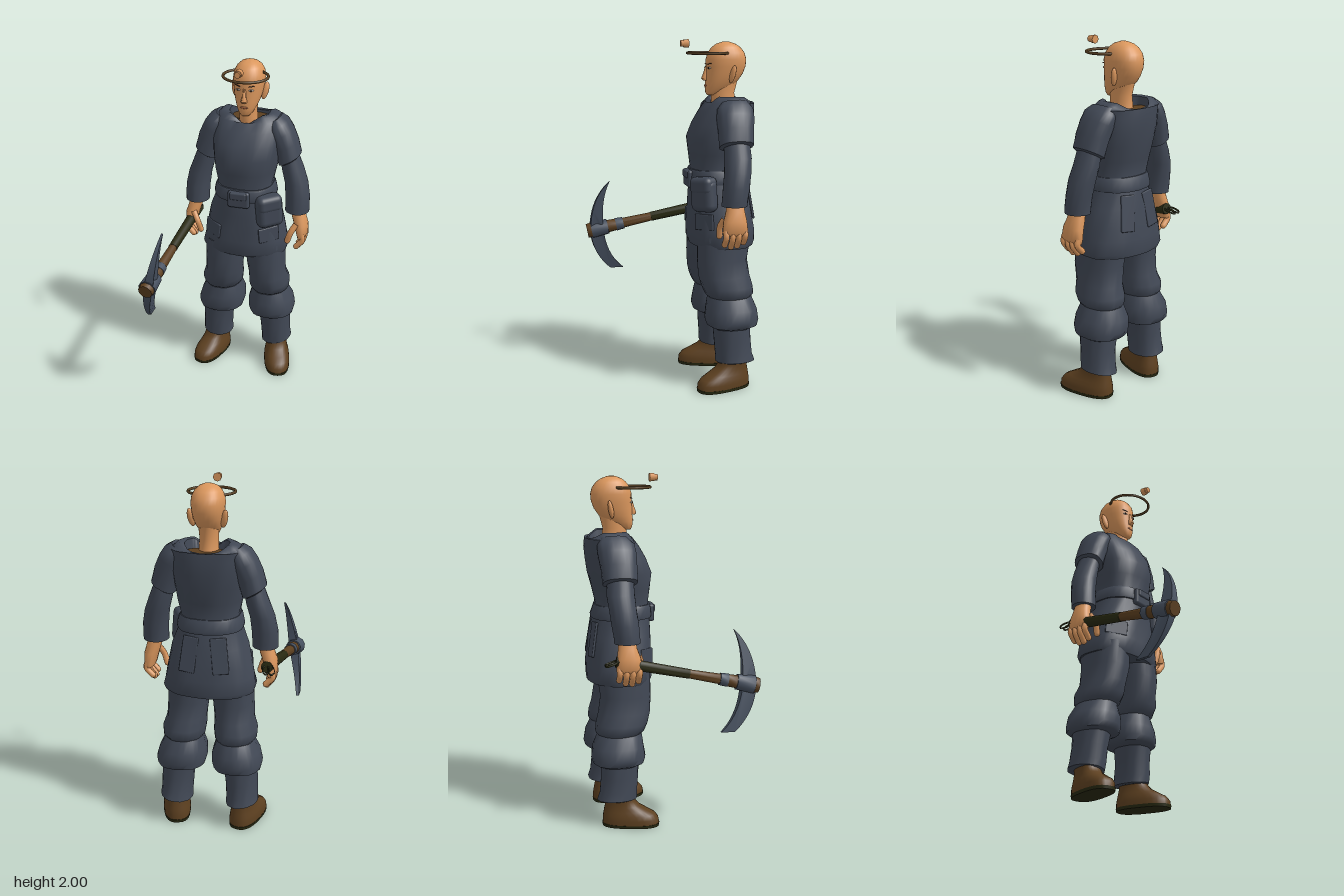
import * as THREE from 'three';
import { toCreasedNormals } from 'three/addons/utils/BufferGeometryUtils.js';
import { RoundedBoxGeometry } from 'three/addons/geometries/RoundedBoxGeometry.js';

const mat = (name, color) => {
  const m = new THREE.MeshStandardMaterial({ color });
  m.name = name;
  return m;
};
const skin = mat('skin', 0xdb975d);
const cloth = mat('slate cloth', 0x414855);
const leather = mat('brown leather', 0x5d4020);
const olive = mat('dark olive wrap', 0x292a12);
const metal = mat('blue steel', 0x475160);
const bronze = mat('dark bronze', 0x563f22);
const white = mat('eye white', 0xd8d0c4);
const dark = mat('dark brown', 0x3a2414);
const lip = mat('lip', 0xb8704a);

function add(parent, name, geo, material, x = 0, y = 0, z = 0) {
  const m = new THREE.Mesh(geo, material);
  m.name = name;
  m.position.set(x, y, z);
  parent.add(m);
  return m;
}

// Stacked rounded rings: rows of [y, centreX, radiusX, frontZ, backZ]
function loft(rows, { n = 28, p = 2, slope = 0, ripple = 0, crease = 0.9 } = {}) {
  const pos = [], idx = [];
  const bend = (v) => Math.sign(v) * Math.abs(v) ** (2 / p);
  for (const [y, cx, rx, zf, zb] of rows) {
    for (let i = 0; i < n; i++) {
      const a = (i / n) * Math.PI * 2;
      const w = 1 + ripple * Math.sin(a * 7 + y * 31) * Math.cos(a * 3 - y * 17);
      const dx = bend(Math.cos(a)) * rx * w, dz = bend(Math.sin(a)) * (zf - zb) / 2 * w;
      pos.push(cx + dx, y + slope * dx, (zf + zb) / 2 + dz);
    }
  }
  for (let r = 0; r < rows.length - 1; r++) {
    for (let i = 0; i < n; i++) {
      const a = r * n + i, b = r * n + (i + 1) % n;
      idx.push(a, a + n, b, b, a + n, b + n);
    }
  }
  const caps = [rows[0], rows[rows.length - 1]];
  caps.forEach(([y, cx, , zf, zb], k) => {
    const c = pos.length / 3, base = k * (rows.length - 1) * n;
    pos.push(cx, y, (zf + zb) / 2);
    for (let i = 0; i < n; i++) {
      const a = base + i, b = base + (i + 1) % n;
      if (k) idx.push(c, b, a); else idx.push(c, a, b);
    }
  });
  const g = new THREE.BufferGeometry();
  g.setAttribute('position', new THREE.Float32BufferAttribute(pos, 3));
  g.setIndex(idx);
  return toCreasedNormals(g, crease);
}

function buildHead(body) {
  add(body, 'neck', loft([[1.57, 0, 0.06, -0.23, -0.37], [1.64, 0, 0.053, -0.22, -0.36],
    [1.7, 0, 0.051, -0.215, -0.352], [1.77, 0, 0.055, -0.22, -0.37]]), skin);
  add(body, 'head', loft([[1.69, 0, 0.024, -0.192, -0.24], [1.705, 0, 0.04, -0.184, -0.28],
    [1.735, 0, 0.056, -0.181, -0.33], [1.77, 0, 0.07, -0.183, -0.372], [1.81, 0, 0.08, -0.185, -0.4],
    [1.85, 0, 0.086, -0.187, -0.415], [1.89, 0, 0.09, -0.187, -0.418], [1.925, 0, 0.085, -0.197, -0.408],
    [1.955, 0, 0.07, -0.218, -0.385], [1.975, 0, 0.048, -0.245, -0.355], [1.987, 0, 0.018, -0.28, -0.32]],
    { p: 2.25, crease: 1.2 }), skin);
  // Face
  add(body, 'nose', loft([[1.772, 0, 0.016, -0.168, -0.2], [1.782, 0, 0.018, -0.158, -0.2],
    [1.815, 0, 0.011, -0.17, -0.2], [1.85, 0, 0.008, -0.18, -0.2]], { n: 10 }), skin);
  add(body, 'mouth', new THREE.SphereGeometry(1, 12, 8).scale(0.024, 0.006, 0.005), lip, 0, 1.743, -0.182);
  for (const s of [1, -1]) {
    const eye = add(body, 'eye', new THREE.SphereGeometry(1, 12, 8).scale(0.015, 0.006, 0.006), white, s * 0.038, 1.843, -0.194);
    eye.rotation.y = s * 0.35;
    add(body, 'iris', new THREE.SphereGeometry(0.006, 10, 8), dark, s * 0.038, 1.843, -0.191);
    const brow = add(body, 'brow', new RoundedBoxGeometry(0.034, 0.005, 0.006, 1, 0.002), dark, s * 0.04, 1.866, -0.194);
    brow.rotation.set(0, s * 0.4, s * 0.15);
    const ear = add(body, 'ear', new THREE.SphereGeometry(1, 12, 10).scale(0.02, 0.052, 0.015), skin, s * 0.089, 1.808, -0.318);
    ear.rotation.set(-0.15, s * 0.25, -s * 0.2);
  }
  // Floating head ring and the knob ahead of it
  add(body, 'headRing', new THREE.TorusGeometry(0.127, 0.008, 8, 40).rotateX(Math.PI / 2).scale(1, 1, 0.92), bronze, 0.005, 1.925, -0.195);
  add(body, 'ringKnob', new THREE.CylinderGeometry(0.021, 0.024, 0.03, 8).rotateX(Math.PI / 2), skin, 0, 1.978, -0.068);
  add(body, 'knobCap', new THREE.CylinderGeometry(0.018, 0.018, 0.02, 8).rotateX(Math.PI / 2), skin, 0, 1.978, -0.047);
}

function buildTunic(body) {
  const torso = loft([[0.835, 0, 0.25, -0.095, -0.455], [0.86, 0, 0.26, -0.085, -0.462],
    [0.93, 0, 0.248, -0.085, -0.46], [1, 0, 0.234, -0.088, -0.45], [1.1, 0, 0.208, -0.09, -0.44],
    [1.2, 0, 0.172, -0.095, -0.415], [1.28, 0, 0.163, -0.1, -0.402], [1.36, 0, 0.178, -0.09, -0.42],
    [1.45, 0, 0.195, -0.084, -0.44], [1.53, 0, 0.202, -0.112, -0.453], [1.6, 0, 0.205, -0.155, -0.456],
    [1.65, 0, 0.2, -0.19, -0.454], [1.675, 0, 0.17, -0.21, -0.445], [1.685, 0, 0.145, -0.222, -0.437],
    [1.68, 0, 0.12, -0.234, -0.428], [1.6, 0, 0.108, -0.24, -0.42]], { n: 40, p: 2.35, ripple: 0.022 });
  // Dip the neckline at the front and slope the collar down at the back
  const q = torso.attributes.position;
  for (let i = 0; i < q.count; i++) {
    const x = Math.abs(q.getX(i)), y = q.getY(i), z = q.getZ(i);
    if (y < 1.66) continue;
    const front = z > -0.33 ? 0.065 * Math.max(0, 1 - x / 0.09) : 0;
    q.setY(i, y - front - 0.6 * Math.max(0, -0.37 - z));
  }
  add(body, 'tunic', toCreasedNormals(torso, 0.9), cloth);
  add(body, 'collarLining', loft([[1.59, 0, 0.1, -0.28, -0.41], [1.636, 0, 0.11, -0.28, -0.418]], { p: 2.35 }), leather);
  add(body, 'belt', loft([[1.195, 0, 0.182, -0.084, -0.427], [1.21, 0, 0.184, -0.08, -0.43],
    [1.26, 0, 0.174, -0.084, -0.415], [1.272, 0, 0.168, -0.09, -0.41]], { p: 2.35, ripple: 0.015 }), cloth);
  // Pouches and pockets
  add(body, 'beltPouch', new RoundedBoxGeometry(0.13, 0.1, 0.04, 2, 0.015), cloth, -0.002, 1.215, -0.088);
  add(body, 'beltPouchFlap', new RoundedBoxGeometry(0.1, 0.045, 0.03, 2, 0.01), cloth, -0.002, 1.24, -0.076);
  const pouch = new THREE.Group();
  pouch.name = 'sidePouch';
  pouch.position.set(0.17, 1.14, -0.135);
  pouch.rotation.set(0, 0.6, 0.08);
  add(pouch, 'pouchBag', new RoundedBoxGeometry(0.16, 0.19, 0.09, 3, 0.04), cloth);
  add(pouch, 'pouchFlap', new RoundedBoxGeometry(0.15, 0.1, 0.096, 3, 0.032), cloth, 0, 0.055, 0.002);
  body.add(pouch);
  for (const s of [1, -1]) {
    const pocket = add(body, 'pocketFlap', new RoundedBoxGeometry(0.13, 0.09, 0.014, 2, 0.006), cloth, s * 0.17, 0.985, -0.137);
    pocket.rotation.set(-0.06, s * 0.65, s * 0.12);
    const tail = add(body, 'backPanel', new RoundedBoxGeometry(0.09, 0.2, 0.014, 2, 0.006), cloth, s * 0.085, 1.08, -0.43);
    tail.rotation.set(0.17, s * -0.13, s * 0.12);
  }
}

function buildArm(body, s) {
  add(body, 'shortSleeve', loft([[1.412, s * 0.25, 0.05, -0.215, -0.375], [1.422, s * 0.251, 0.064, -0.2, -0.395],
    [1.5, s * 0.229, 0.064, -0.2, -0.4], [1.57, s * 0.199, 0.064, -0.2, -0.408],
    [1.62, s * 0.175, 0.055, -0.205, -0.41], [1.652, s * 0.15, 0.04, -0.235, -0.39]],
    { slope: s * 0.55, p: 2.2, ripple: 0.03 }), cloth);
  add(body, 'longSleeve', loft([[1.1, s * 0.308, 0.06, -0.21, -0.335], [1.1, s * 0.309, 0.07, -0.2, -0.345],
    [1.13, s * 0.309, 0.071, -0.202, -0.347], [1.2, s * 0.306, 0.071, -0.208, -0.357],
    [1.28, s * 0.294, 0.069, -0.216, -0.368], [1.36, s * 0.269, 0.064, -0.222, -0.378],
    [1.45, s * 0.245, 0.054, -0.225, -0.37]], { ripple: 0.025 }), cloth);
  // Hand
  add(body, 'palm', loft([[0.94, s * 0.344, 0.022, -0.2, -0.337], [0.96, s * 0.346, 0.032, -0.195, -0.342],
    [1.02, s * 0.337, 0.04, -0.203, -0.336], [1.07, s * 0.321, 0.041, -0.22, -0.327],
    [1.13, s * 0.308, 0.038, -0.228, -0.32]], { n: 16, p: 2.3 }), skin);
  const tip = (x, y, z, r) => add(body, 'fingertip', new THREE.SphereGeometry(r, 8, 6), skin, s * x, y, z);
  const finger = (name, pts, r) => {
    add(body, name, new THREE.TubeGeometry(
      new THREE.CatmullRomCurve3(pts.map(([x, y, z]) => new THREE.Vector3(s * x, y, z))), 8, r, 8), skin);
    tip(...pts[pts.length - 1], r);
  };
  [0.885, 0.872, 0.876, 0.895].forEach((y, i) => {
    const z = -0.214 - i * 0.036;
    finger('finger', [[0.35, 0.97, z], [0.358, (y + 0.97) / 2 + 0.005, z], [0.322, y, z]], 0.0175);
  });
  finger('thumb', [[0.318, 1.035, -0.215], [0.288, 0.98, -0.195], [0.27, 0.925, -0.198]], 0.018);
}

function buildLeg(body, s) {
  const opt = { p: 2.2, ripple: 0.03 };
  add(body, 'upperTrouser', loft([[0.53, s * 0.148, 0.1, -0.185, -0.41], [0.555, s * 0.15, 0.118, -0.155, -0.432],
    [0.6, s * 0.148, 0.122, -0.132, -0.43], [0.66, s * 0.138, 0.112, -0.12, -0.41],
    [0.76, s * 0.13, 0.115, -0.108, -0.4], [0.9, s * 0.122, 0.118, -0.11, -0.42]], opt), cloth);
  add(body, 'kneeTrouser', loft([[0.36, s * 0.165, 0.11, -0.19, -0.42], [0.375, s * 0.163, 0.138, -0.16, -0.452],
    [0.41, s * 0.162, 0.145, -0.15, -0.46], [0.47, s * 0.155, 0.135, -0.155, -0.455],
    [0.54, s * 0.148, 0.106, -0.17, -0.42]], opt), cloth);
  add(body, 'lowerTrouser', loft([[0.15, s * 0.195, 0.08, -0.22, -0.42], [0.155, s * 0.194, 0.092, -0.21, -0.432],
    [0.2, s * 0.192, 0.088, -0.205, -0.42], [0.28, s * 0.188, 0.09, -0.2, -0.41],
    [0.38, s * 0.18, 0.096, -0.19, -0.41]], { ...opt, slope: s * 0.12 }), cloth);
  // Boot, turned outward
  const boot = new THREE.Group();
  boot.name = 'boot';
  boot.position.set(s * 0.217, 0, -0.245);
  boot.rotation.y = s * 0.27;
  add(boot, 'sole', loft([[0, 0, 0.078, 0.164, -0.164], [0.018, 0, 0.081, 0.166, -0.166]], { p: 2.6 }), olive);
  add(boot, 'bootUpper', loft([[0.018, 0, 0.08, 0.164, -0.164], [0.045, 0, 0.081, 0.16, -0.164],
    [0.07, 0, 0.077, 0.14, -0.16], [0.092, 0, 0.07, 0.1, -0.156], [0.12, 0, 0.063, 0.05, -0.15],
    [0.15, 0, 0.062, 0.022, -0.146], [0.2, 0, 0.068, 0.015, -0.148]], { p: 2.5 }), leather);
  body.add(boot);
}

function buildPick(parent) {
  const pick = new THREE.Group();
  pick.name = 'pickaxe';
  parent.add(pick);
  const at = (z) => new THREE.Vector3(-0.302, 1, -0.33).lerp(new THREE.Vector3(-0.367, 0.84, 0.46), (z + 0.33) / 0.79);
  const up = new THREE.Vector3(0, 1, 0);
  const rod = (name, material, z0, z1, r0, r1) => {
    const a = at(z0), b = at(z1), d = b.clone().sub(a), c = a.clone().add(b).multiplyScalar(0.5);
    const m = add(pick, name, toCreasedNormals(new THREE.CylinderGeometry(r1, r0, d.length(), 10), 0.8), material, c.x, c.y, c.z);
    m.quaternion.setFromUnitVectors(up, d.normalize());
  };
  rod('gripWrap', olive, -0.34, 0.065, 0.033, 0.028);
  rod('handle', leather, 0.065, 0.25, 0.026, 0.031);
  rod('collar', metal, 0.235, 0.28, 0.036, 0.039);
  rod('handleNeck', leather, 0.28, 0.33, 0.036, 0.038);
  rod('headSocket', metal, 0.33, 0.43, 0.046, 0.053);
  rod('handleEnd', leather, 0.43, 0.456, 0.046, 0.042);
  // Curved blades, thinning and leaning sideways toward their tips
  const shape = new THREE.Shape();
  shape.moveTo(0.325, 1.155);
  shape.bezierCurveTo(0.4, 1.09, 0.44, 0.98, 0.438, 0.87);
  shape.bezierCurveTo(0.44, 0.76, 0.39, 0.66, 0.31, 0.592);
  shape.lineTo(0.23, 0.592);
  shape.bezierCurveTo(0.31, 0.66, 0.345, 0.75, 0.36, 0.85);
  shape.bezierCurveTo(0.37, 0.96, 0.37, 1.06, 0.325, 1.155);
  const blade = new THREE.ExtrudeGeometry(shape, { depth: 1, bevelEnabled: false, curveSegments: 12 });
  const q = blade.attributes.position;
  for (let i = 0; i < q.count; i++) {
    const z = q.getX(i), y = q.getY(i), w = q.getZ(i) - 0.5;
    const thick = 0.058 * (1 - 0.8 * Math.min(1, Math.abs(y - 0.855) / 0.3));
    q.setXYZ(i, -0.355 + (y - 0.855) * 0.185 - w * thick, y, z);
  }
  add(pick, 'blades', toCreasedNormals(blade, 0.6), metal);
  // Narrow wrist straps at the grip end
  for (const x of [-0.33, -0.3]) {
    const loop = add(pick, 'strapLoop', new THREE.TorusGeometry(0.036, 0.004, 6, 20).scale(0.5, 1, 1.6), olive, x, 0.995, -0.367);
    loop.rotation.set(1.3, 0, -0.2);
  }
}

export function createModel() {
  const model = new THREE.Group();
  model.name = 'miner';
  const body = new THREE.Group();
  body.name = 'body';
  body.position.x = 0.027;
  model.add(body);
  buildHead(body);
  buildTunic(body);
  for (const s of [1, -1]) {
    buildArm(body, s);
    buildLeg(body, s);
  }
  buildPick(model);
  return model;
}
